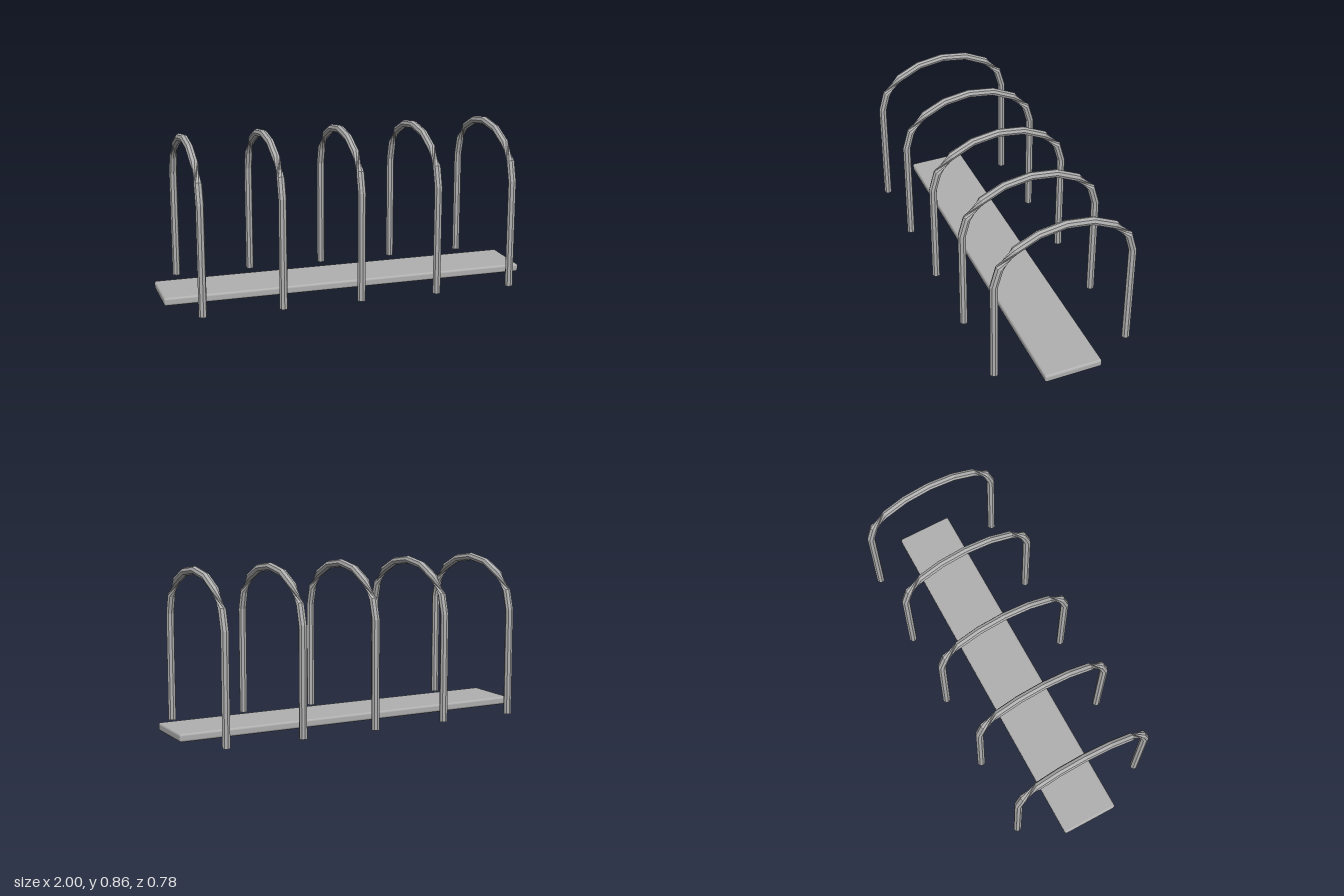
import * as THREE from 'three';
import { RoundedBoxGeometry } from 'three/addons/geometries/RoundedBoxGeometry.js';

const SIDES = 8, R = 0.0215;

// Octagonal tube bent into a hoop, with a quarter twist at each shoulder
function hoopGeometry() {
  const path = [[0.37, 0]];
  for (let k = 0; k <= 8; k++) {
    const a = (k * Math.PI) / 8;
    path.push([0.37 * Math.cos(a), 0.58 + 0.263 * Math.sin(a)]);
  }
  path.push([-0.37, 0]);
  const last = path.length - 1;
  const pos = [], index = [];

  path.forEach(([z, y], j) => {
    // Legs and springing rings stay level, arch rings follow the curve
    let dz = 0, dy = j < last / 2 ? 1 : -1;
    if (j > 1 && j < last - 1) {
      dz = path[j + 1][0] - path[j - 1][0];
      dy = path[j + 1][1] - path[j - 1][1];
      const l = Math.hypot(dz, dy);
      dz /= l;
      dy /= l;
    }
    const shift = j >= 3 && j <= last - 3 ? 2 : 0;
    for (let i = 0; i < SIDES; i++) {
      const a = ((i + shift) * 2 * Math.PI) / SIDES;
      const n = R * Math.cos(a);
      pos.push(R * Math.sin(a), y - dz * n, z + dy * n);
    }
  });

  for (let j = 0; j < last; j++) {
    for (let i = 0; i < SIDES; i++) {
      const i2 = (i + 1) % SIDES;
      const a = j * SIDES + i, b = j * SIDES + i2;
      const c = a + SIDES, d = b + SIDES;
      if (j < last / 2) index.push(a, b, d, a, d, c);
      else index.push(a, b, c, b, d, c);
    }
  }
  // Foot caps
  const e = last * SIDES;
  for (let i = 1; i < SIDES - 1; i++) {
    index.push(0, i + 1, i, e, e + i, e + i + 1);
  }

  const indexed = new THREE.BufferGeometry();
  indexed.setAttribute('position', new THREE.Float32BufferAttribute(pos, 3));
  indexed.setIndex(index);
  const g = indexed.toNonIndexed();
  g.computeVertexNormals();
  return g;
}

export function createModel() {
  const group = new THREE.Group();
  const steel = new THREE.MeshStandardMaterial({ color: 0xb0b0b0 });
  steel.name = 'grey steel';

  // Flat base plank
  const base = new THREE.Mesh(new RoundedBoxGeometry(2, 0.043, 0.314, 3, 0.012), steel);
  base.name = 'basePlank';
  base.position.y = 0.0215;
  group.add(base);

  // Five evenly spaced hoops
  const geometry = hoopGeometry();
  for (let k = -2; k <= 2; k++) {
    const hoop = new THREE.Mesh(geometry, steel);
    hoop.name = `hoop${k + 3}`;
    hoop.position.x = k * 0.421;
    group.add(hoop);
  }
  return group;
}
